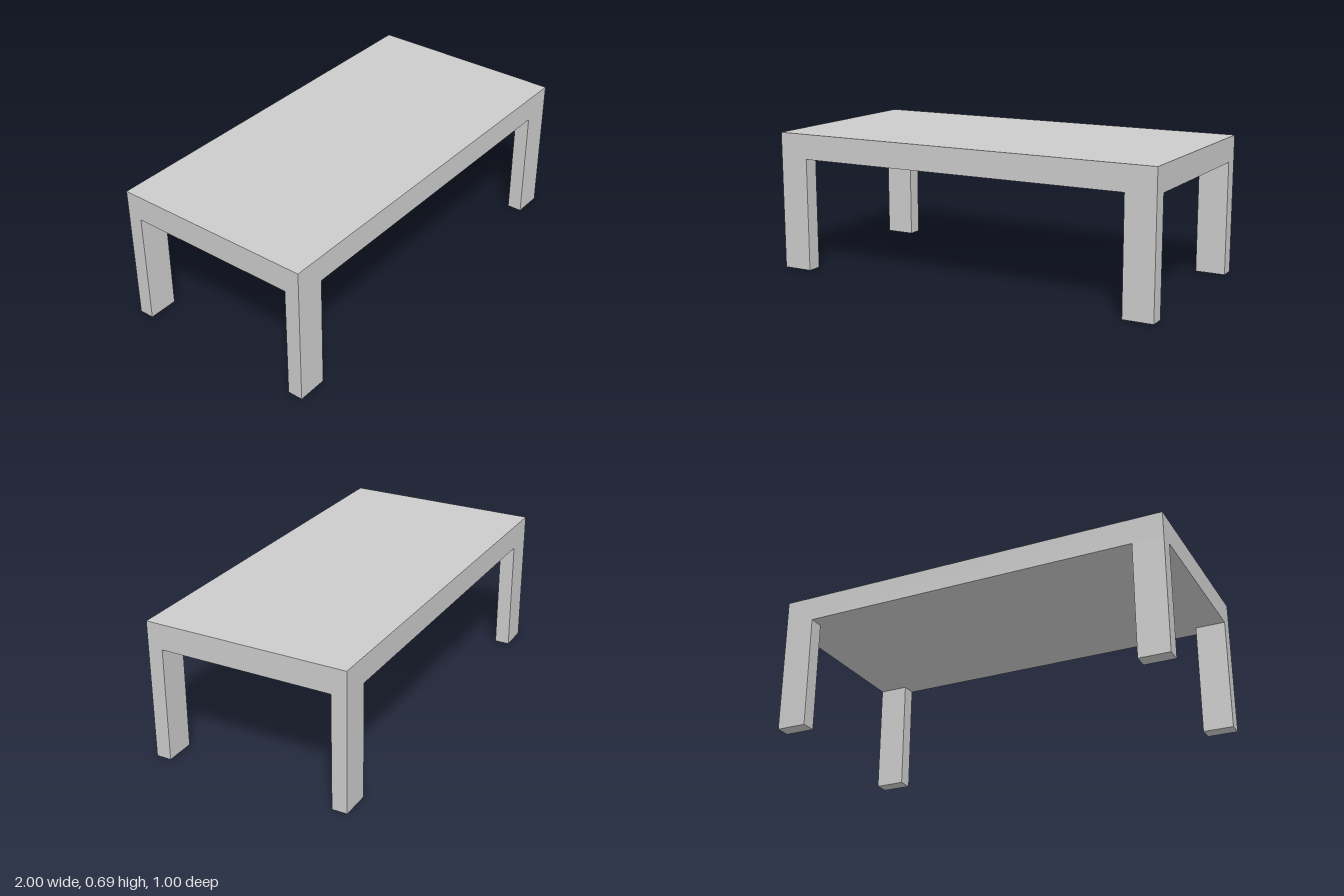
import * as THREE from 'three';

const WIDTH = 2, DEPTH = 1, HEIGHT = 0.69;
const TOP_THICKNESS = 0.125;
const LEG_WIDTH = 0.15, LEG_DEPTH = 0.075;

export function createModel() {
  const table = new THREE.Group();
  table.name = 'table';
  const material = new THREE.MeshStandardMaterial({ color: 0xcccccc });

  const addBox = (name, w, h, d, x, y, z) => {
    const mesh = new THREE.Mesh(new THREE.BoxGeometry(w, h, d), material);
    mesh.name = name;
    mesh.position.set(x, y, z);
    table.add(mesh);
  };

  // Solid slab top
  addBox('tableTop', WIDTH, TOP_THICKNESS, DEPTH, 0, HEIGHT - TOP_THICKNESS / 2, 0);

  // Four rectangular legs flush with the corners of the top
  const legHeight = HEIGHT - TOP_THICKNESS;
  for (const [side, sx] of [['Left', 1], ['Right', -1]]) {
    for (const [end, sz] of [['front', 1], ['back', -1]]) {
      addBox(`${end}${side}Leg`, LEG_WIDTH, legHeight, LEG_DEPTH,
        sx * (WIDTH - LEG_WIDTH) / 2, legHeight / 2, sz * (DEPTH - LEG_DEPTH) / 2);
    }
  }
  return table;
}
